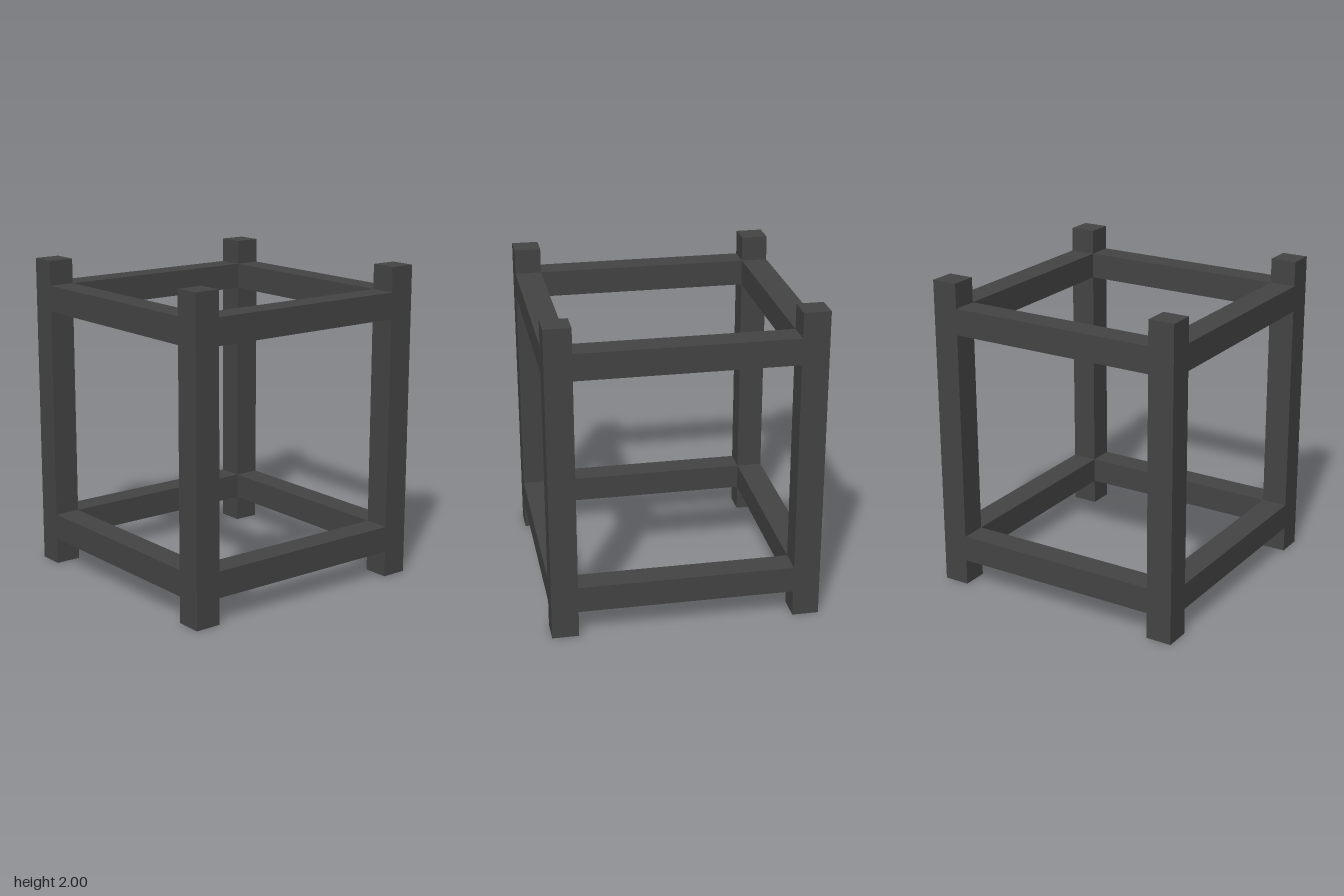
import * as THREE from 'three';

export function createModel() {
  const group = new THREE.Group();
  const charcoal = new THREE.MeshStandardMaterial({ color: 0x444444 });
  charcoal.name = 'charcoal';

  const T = 0.166;          // bar thickness
  const C = 0.756;          // distance from centre to bar axis
  const span = 2 * C - T;   // clear length between posts

  function bar(name, w, h, d, x, y, z) {
    const mesh = new THREE.Mesh(new THREE.BoxGeometry(w, h, d), charcoal);
    mesh.name = name;
    mesh.position.set(x, y, z);
    group.add(mesh);
  }

  for (const s of [-1, 1]) {
    const side = s > 0 ? 'left' : 'right';
    const end = s > 0 ? 'front' : 'back';

    // Corner posts
    bar(side + 'FrontPost', T, 2, T, s * C, 1, C);
    bar(side + 'BackPost', T, 2, T, s * C, 1, -C);

    // Lower and upper rails between the posts
    for (const [level, y] of [['Lower', 0.25], ['Upper', 1.76]]) {
      bar(end + level + 'Rail', span, T, T, 0, y, s * C);
      bar(side + level + 'Rail', T, T, span, s * C, y, 0);
    }
  }
  return group;
}
